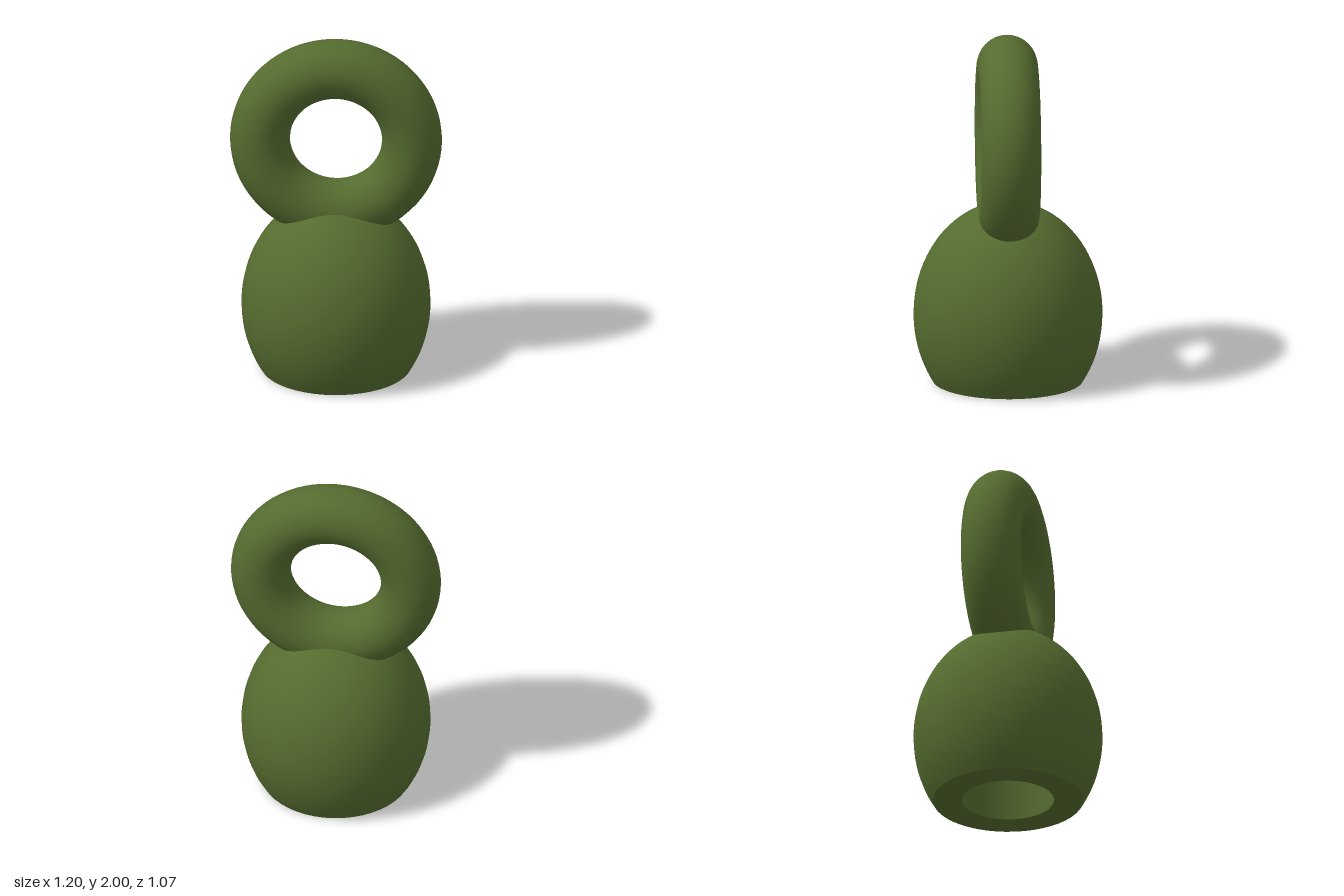
import * as THREE from 'three';

const RING_Y = 1.4, RING_R = 0.43, TUBE_R = 0.17;
const BODY_Y = 0.39, BODY_R = 0.535, BODY_H = 0.643;
const HOLE_R = 0.26, HOLE_DEPTH = 0.27;

export function createModel() {
  const model = new THREE.Group();
  model.name = 'ringToppedWeight';
  const olive = new THREE.MeshStandardMaterial({ color: 0x556b2f });
  olive.name = 'olive green';

  const add = (name, geometry) => {
    const mesh = new THREE.Mesh(geometry, olive);
    mesh.name = name;
    model.add(mesh);
    return mesh;
  };
  // Profiles run from the hole outward and up, so faces point out of the solid
  const lathe = (name, points) =>
    add(name, new THREE.LatheGeometry(points.map(([r, y]) => new THREE.Vector2(r, y)), 48));

  // Egg-shaped body, cut flat at the base
  const profile = [];
  const start = -Math.asin(BODY_Y / BODY_H), steps = 32;
  for (let i = 0; i <= steps; i++) {
    const a = start + (Math.PI / 2 - start) * i / steps;
    profile.push([
      i === steps ? 0 : BODY_R * Math.cos(a),
      i === 0 ? 0 : BODY_Y + BODY_H * Math.sin(a),
    ]);
  }
  lathe('body', profile);

  // Flat underside with a round blind hole; separate meshes keep the edges sharp
  lathe('baseRim', [[HOLE_R, 0], profile[0]]);
  lathe('holeWall', [[HOLE_R, HOLE_DEPTH], [HOLE_R, 0]]);
  lathe('holeCeiling', [[0, HOLE_DEPTH], [HOLE_R, HOLE_DEPTH]]);

  // Upright ring handle, sunk into the top of the body
  add('ringHandle', new THREE.TorusGeometry(RING_R, TUBE_R, 32, 72)).position.y = RING_Y;

  return model;
}
